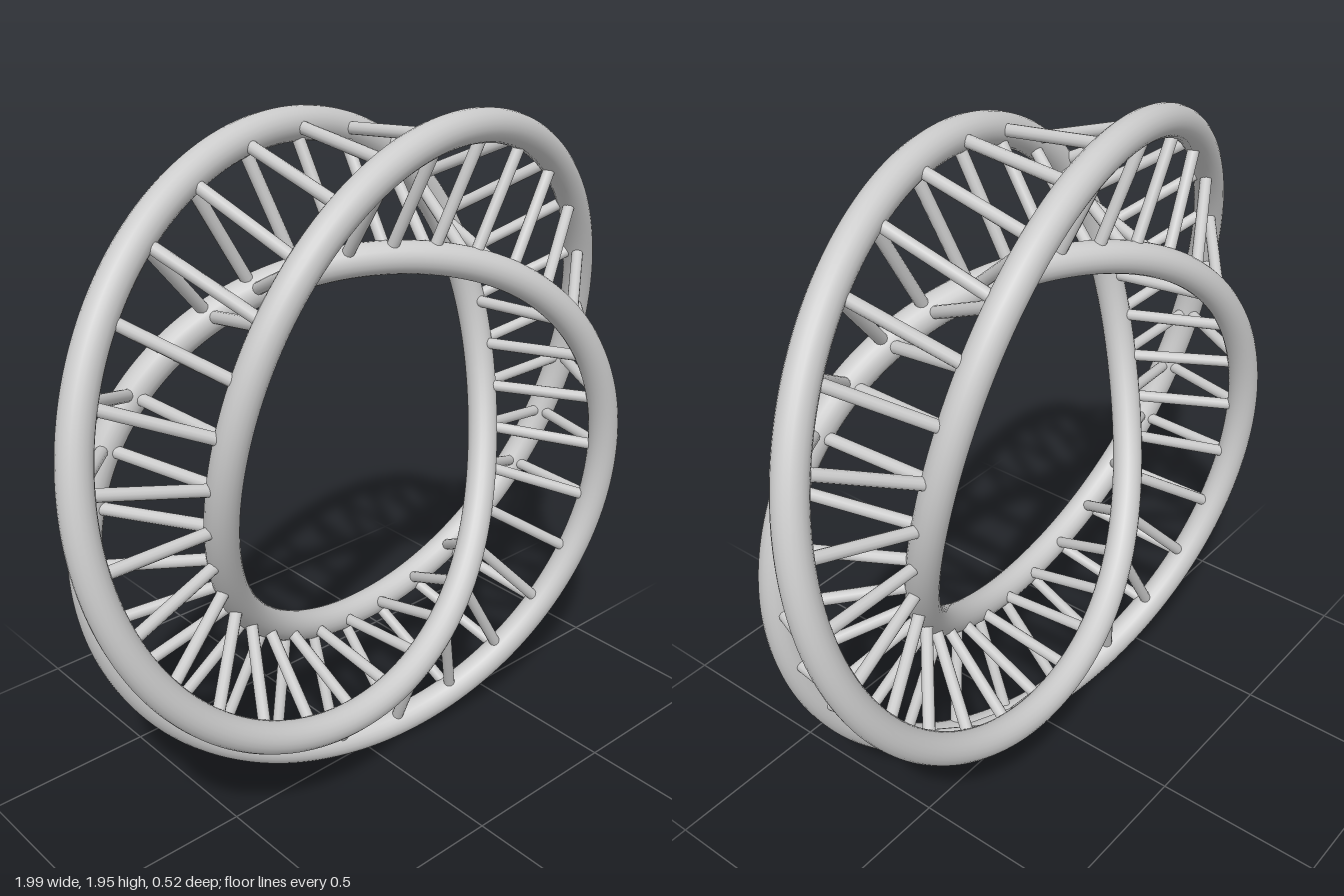
import * as THREE from 'three';

const RING = 0.76;      // radius of the ring's centre line
const OFFSET = 0.215;   // distance of each rail from the centre line
const RAIL = 0.045;     // rail thickness (radius)
const RUNG = 0.017;     // rung thickness (radius)
const STATIONS = 30;    // triangles of rungs around the ring
const CENTRE_Y = RING + OFFSET + RAIL;

// Point on rail k at angle t from the bottom; the section turns once per lap
function railPoint(k, t) {
  const phase = t + (k * Math.PI * 2) / 3;
  const r = RING + OFFSET * Math.cos(phase);
  return new THREE.Vector3(r * Math.sin(t), CENTRE_Y - r * Math.cos(t), OFFSET * Math.sin(phase));
}

class RailCurve extends THREE.Curve {
  constructor(k) {
    super();
    this.k = k;
  }
  getPoint(u, target = new THREE.Vector3()) {
    return target.copy(railPoint(this.k, u * Math.PI * 2));
  }
}

function rod(a, b, radius, material) {
  const mesh = new THREE.Mesh(new THREE.CylinderGeometry(radius, radius, a.distanceTo(b), 12), material);
  mesh.position.copy(a).lerp(b, 0.5);
  mesh.quaternion.setFromUnitVectors(new THREE.Vector3(0, 1, 0), b.clone().sub(a).normalize());
  return mesh;
}

export function createModel() {
  const model = new THREE.Group();
  model.name = 'twistedTriangularRing';
  const material = new THREE.MeshStandardMaterial({ color: 0xcccccc });

  // Three interlinked rails
  for (let k = 0; k < 3; k++) {
    const rail = new THREE.Mesh(new THREE.TubeGeometry(new RailCurve(k), 200, RAIL, 20, true), material);
    rail.name = 'rail';
    model.add(rail);
  }

  // Triangle of rungs joining the rails at each station
  const rungs = new THREE.Group();
  rungs.name = 'rungs';
  for (let i = 0; i < STATIONS; i++) {
    const t = ((i + 0.5) / STATIONS) * Math.PI * 2;
    for (let k = 0; k < 3; k++) {
      const rung = rod(railPoint(k, t), railPoint((k + 1) % 3, t), RUNG, material);
      rung.name = 'rung';
      rungs.add(rung);
    }
  }
  model.add(rungs);
  return model;
}
